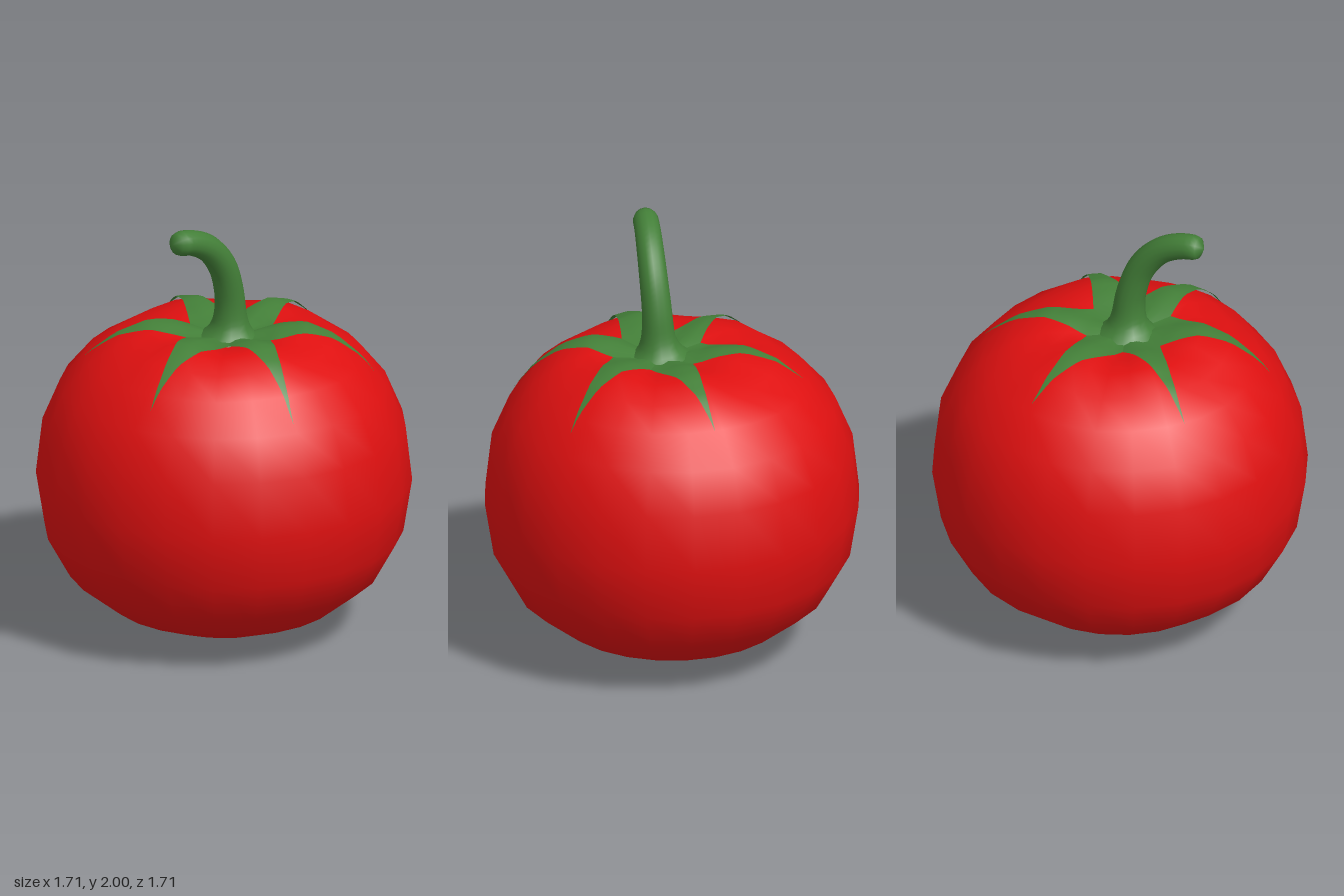
import * as THREE from 'three';
import { mergeVertices } from 'three/addons/utils/BufferGeometryUtils.js';

// Fruit outline (radius, height), bottom to top dimple
const PROFILE = [
  [0, 0], [0.14, 0.012], [0.28, 0.035], [0.52, 0.13], [0.71, 0.28], [0.815, 0.47], [0.855, 0.72],
  [0.825, 0.98], [0.745, 1.17], [0.63, 1.31], [0.5, 1.4], [0.36, 1.445], [0.25, 1.44], [0.12, 1.41], [0, 1.4],
];
const CENTRE = new THREE.Vector2(-0.01, 0.05); // stem position in x, z

// Soft grooves running out between the sepals
const groove = (r, angle) => 0.016 * Math.sin(Math.PI * Math.min(1, r / 0.68))
  * (-Math.cos(6 * (angle - 0.3)) - 0.2);
const shift = (r) => Math.max(0, 1 - r / 0.7);

// Height of the fruit's upper surface at x, z
function topHeight(x, z) {
  let r = Math.hypot(x, z);
  const w = shift(r);
  const dx = x - CENTRE.x * w, dz = z - CENTRE.y * w;
  r = Math.hypot(dx, dz);
  for (let i = 7; i < PROFILE.length - 1; i++) {
    const [r0, y0] = PROFILE[i], [r1, y1] = PROFILE[i + 1];
    if (r <= r0 && r >= r1) return y0 + (y1 - y0) * (r0 - r) / (r0 - r1) + groove(r, Math.atan2(dz, dx));
  }
  return 0.98;
}

// Weld seams so that the shading is smooth all round
function smooth(geometry) {
  geometry.deleteAttribute('uv');
  geometry.deleteAttribute('normal');
  const welded = mergeVertices(geometry, 1e-4);
  welded.computeVertexNormals();
  return welded;
}

function fruitGeometry() {
  const g = new THREE.LatheGeometry(PROFILE.map(([r, y]) => new THREE.Vector2(r, y)), 24);
  const p = g.attributes.position;
  for (let i = 0; i < p.count; i++) {
    const x = p.getX(i), y = p.getY(i), z = p.getZ(i), r = Math.hypot(x, z);
    if (y < 1.1) continue;
    const w = shift(r);
    p.setXYZ(i, x + CENTRE.x * w, y + groove(r, Math.atan2(z, x)), z + CENTRE.y * w);
  }
  return smooth(g);
}

// One sepal: a strip from the stem, through two notches, to a pointed tip
function sepalGeometry(notchA, notchB, tip) {
  const base = notchA.clone().add(notchB).multiplyScalar(0.5);
  const edge = (notch) => {
    const control = notch.clone().lerp(base, 0.5).lerp(tip, 0.5);
    const curve = new THREE.QuadraticBezierCurve(notch, control, tip);
    return [CENTRE, CENTRE.clone().lerp(notch, 0.5), ...curve.getPoints(12)];
  };
  const a = edge(notchA), b = edge(notchB), across = 4;
  const positions = [], index = [];
  a.forEach((pa, row) => {
    for (let j = 0; j <= across; j++) {
      const q = pa.clone().lerp(b[row], j / across);
      positions.push(q.x, topHeight(q.x, q.y) + 0.018, q.y);
      if (row && j) {
        const k = row * (across + 1) + j;
        index.push(k - across - 2, k - 1, k, k - across - 2, k, k - across - 1);
      }
    }
  });
  const g = new THREE.BufferGeometry();
  g.setAttribute('position', new THREE.Float32BufferAttribute(positions, 3));
  g.setIndex(index);
  return smooth(g);
}

// Curved stem, flared at its foot and rounded at its end
function stemGeometry() {
  const curve = new THREE.CatmullRomCurve3([
    [-0.015, 1.415, 0.055], [-0.015, 1.5, 0.06], [-0.025, 1.62, 0.065], [-0.075, 1.77, 0.075],
    [-0.165, 1.88, 0.08], [-0.27, 1.935, 0.08], [-0.385, 1.952, 0.08],
  ].map((v) => new THREE.Vector3(...v)));
  const rows = 28, sides = 14;
  const g = new THREE.TubeGeometry(curve, rows, 1, sides);
  const p = g.attributes.position, v = new THREE.Vector3();
  for (let i = 0; i <= rows; i++) {
    const t = i / rows, c = curve.getPointAt(t);
    let r = 0.073 - 0.016 * t + 0.067 * Math.exp(-t * 17);
    if (i === rows - 1) r = 0.049;
    if (i === rows) r = 0;
    for (let j = 0; j <= sides; j++) {
      const k = i * (sides + 1) + j;
      v.fromBufferAttribute(p, k).sub(c).multiplyScalar(r).add(c);
      p.setXYZ(k, v.x, v.y, v.z);
    }
  }
  return smooth(g);
}

export function createModel() {
  const red = new THREE.MeshStandardMaterial({ color: 0xdf1010 });
  red.name = 'ripe red';
  const green = new THREE.MeshStandardMaterial({ color: 0x437f38, side: THREE.DoubleSide });
  green.name = 'leaf green';

  const model = new THREE.Group();
  model.name = 'tomato';
  const add = (parent, name, geometry, material) => {
    const mesh = new THREE.Mesh(geometry, material);
    mesh.name = name;
    parent.add(mesh);
  };
  add(model, 'fruit', fruitGeometry(), red);
  add(model, 'stem', stemGeometry(), green);

  // Six uneven sepals around the stem, in x, z
  const vec = ([x, z]) => new THREE.Vector2(x, z);
  const notches = [[-0.08, -0.14], [0.13, -0.08], [0.19, 0.12], [0.04, 0.275], [-0.155, 0.21], [-0.21, -0.02]].map(vec);
  const tips = [[0.17, -0.58], [0.63, -0.12], [0.45, 0.52], [-0.2, 0.7], [-0.65, 0.23], [-0.51, -0.39]].map(vec);
  const calyx = new THREE.Group();
  calyx.name = 'calyx';
  tips.forEach((tip, i) => add(calyx, `sepal${i + 1}`, sepalGeometry(notches[(i + 1) % 6], notches[i], tip), green));
  model.add(calyx);
  return model;
}
